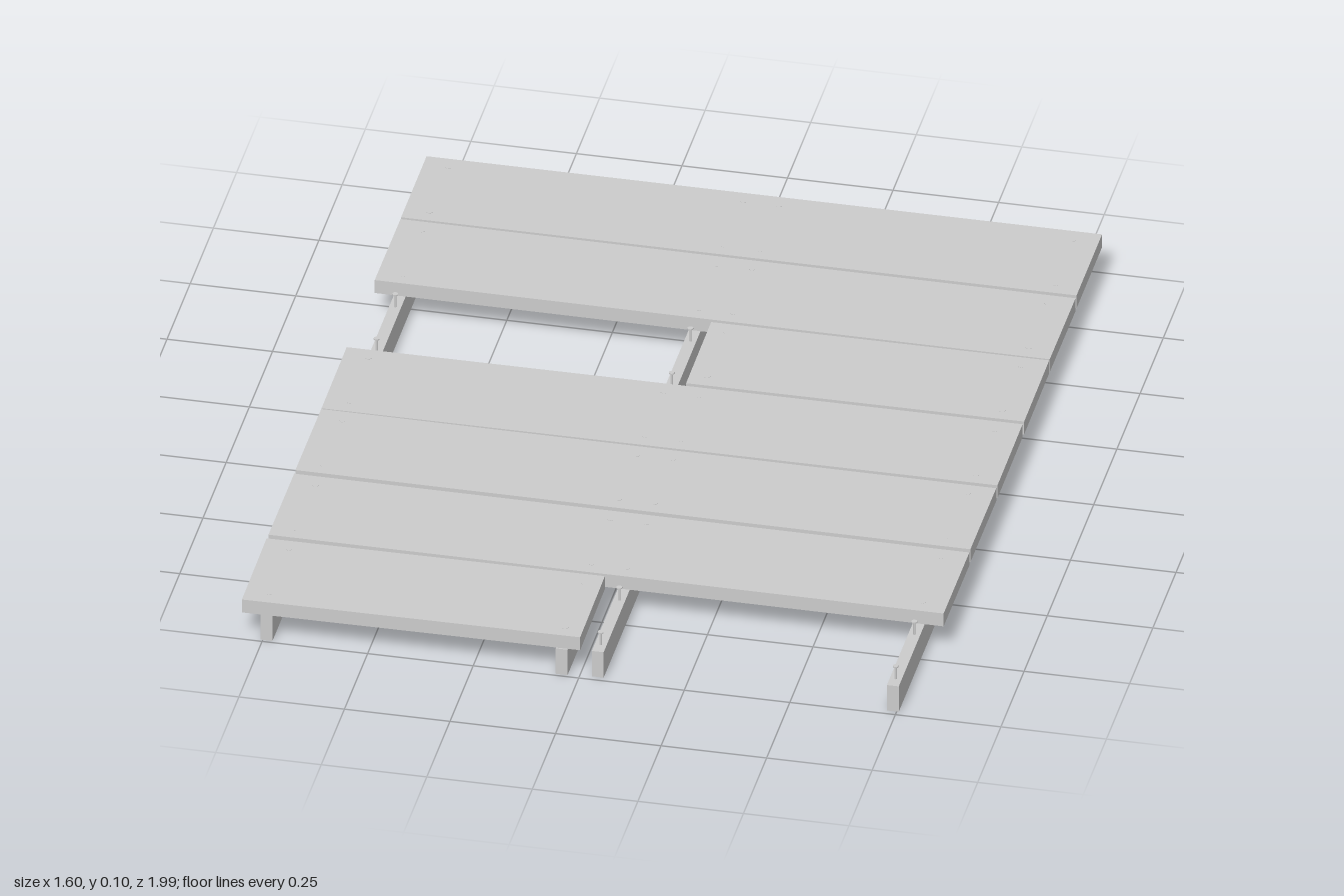
import * as THREE from 'three';

const JOIST_H = 0.069, DECK_T = 0.035, TOP = JOIST_H + DECK_T;
const JOIST_X = [-0.741, -0.042, 0.042, 0.741];
const PLANK_D = 0.275;

// One entry per row: centre z, x range and a slight hand-laid skew
const ROWS = [
  { z: -0.863, x0: -0.8, x1: 0.8, skew: 0 },
  { z: -0.578, x0: -0.8, x1: 0.8, skew: -0.003 },
  { z: -0.294, x0: 0, x1: 0.8, skew: 0.004 },
  { z: -0.006, x0: -0.8, x1: 0.8, skew: 0.003 },
  { z: 0.277, x0: -0.8, x1: 0.8, skew: -0.003 },
  { z: 0.567, x0: -0.8, x1: 0.8, skew: -0.002 },
  { z: 0.854, x0: -0.8, x1: 0, skew: 0.007 },
];

export function createModel() {
  const group = new THREE.Group();
  const mat = new THREE.MeshStandardMaterial({ color: 0xcccccc, flatShading: true });

  const add = (name, geo, x, y, z, parent = group) => {
    const mesh = new THREE.Mesh(geo, mat);
    mesh.name = name;
    mesh.position.set(x, y, z);
    parent.add(mesh);
    return mesh;
  };

  // Two pairs of joists running front to back
  for (const x of JOIST_X) {
    const z0 = -0.986, z1 = x < 0 ? 0.993 : 0.986;
    add('joist', new THREE.BoxGeometry(0.028, JOIST_H, z1 - z0), x, JOIST_H / 2, (z0 + z1) / 2);
  }

  // Deck boards laid across the joists
  for (const r of ROWS) {
    const geo = new THREE.BoxGeometry(r.x1 - r.x0, DECK_T, PLANK_D);
    add('plank', geo, (r.x0 + r.x1) / 2, JOIST_H + DECK_T / 2, r.z).rotation.y = r.skew;
  }

  // Nails: two per joist in every row, also left standing where boards are missing
  const shaftGeo = new THREE.CylinderGeometry(0.003, 0.003, 0.065, 8);
  const headGeo = new THREE.CylinderGeometry(0.007, 0.007, 0.003, 10);
  for (const r of ROWS) {
    for (const x of JOIST_X) {
      for (const dz of [-0.1, 0.1]) {
        const nail = new THREE.Group();
        nail.name = 'nail';
        nail.position.set(x, TOP, r.z + dz);
        add('nailShaft', shaftGeo, 0, -0.0335, 0, nail);
        add('nailHead', headGeo, 0, -0.001, 0, nail);
        group.add(nail);
      }
    }
  }
  return group;
}
